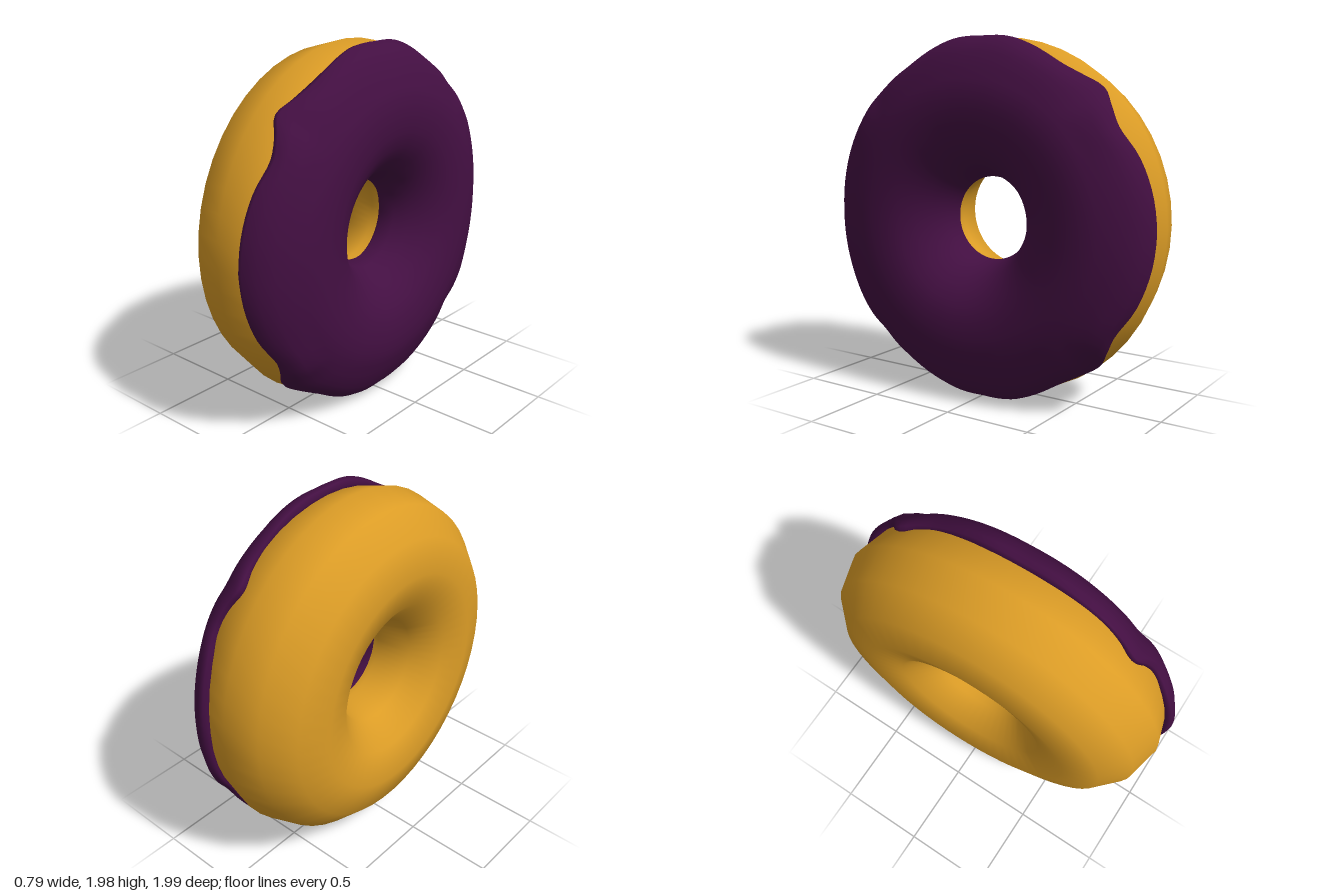
import * as THREE from 'three';

const R = 0.62, r = 0.37;            // ring radius and dough thickness
const STEPS = 36;                    // icing samples per quarter turn

// Wavy icing rim over one quarter turn: angle in degrees, edge position, lip radius
const rim = new THREE.CatmullRomCurve3([
  [0, 0.115, 0.998], [12, 0.125, 0.995], [23, 0.142, 0.985], [33, 0.17, 0.967],
  [40, 0.145, 0.985], [46, 0.1, 1.0], [53, 0.13, 0.98], [60, 0.147, 0.968],
  [72, 0.147, 0.985], [80, 0.142, 0.996], [90, 0.14, 0.99],
].map(([deg, x, rho]) => new THREE.Vector3(THREE.MathUtils.degToRad(deg), x, rho)));

// Cross-section of the icing as [x, radius], from the outer edge into the hole
function icingSection(edge, lip) {
  const doughRadius = x => R + Math.sqrt(r * r - (x + 0.01) ** 2);
  const tip = edge + 0.04;
  const pts = [
    [edge + 0.01, doughRadius(edge) - 0.02],
    [edge, doughRadius(edge) + 0.004],
    [edge + 0.014, lip - 0.008],
    [tip, lip],
  ];
  // From the lip down to the round part
  const start = THREE.MathUtils.degToRad(58);
  const join = [-0.01 + 0.394 * Math.sin(start), R + 0.394 * Math.cos(start)];
  for (const k of [0.3, 0.65]) {
    const bulge = 0.07 * k * (1 - k);
    pts.push([tip + (join[0] - tip) * k + bulge, lip + (join[1] - lip) * k + bulge]);
  }
  // Over the crest and into the hole
  for (const deg of [58, 68, 79, 90, 103, 116, 130, 145, 158, 170]) {
    const t = THREE.MathUtils.degToRad(deg);
    const rad = 0.38 + 0.014 * Math.abs(Math.cos(t)) ** 0.7;
    pts.push([-0.01 + rad * Math.sin(t), R + rad * Math.cos(t)]);
  }
  pts.push([0.02, R - r + 0.02]);
  return pts;
}

function icingGeometry() {
  const positions = [], index = [], total = STEPS * 4;
  let n = 0;
  for (let i = 0; i < total; i++) {
    // Mirror the quarter rim around the full circle
    const quarter = Math.floor(i / STEPS), k = (i % STEPS) / STEPS;
    const odd = quarter % 2 === 1;
    const p = rim.getPoint(odd ? 1 - k : k);
    const phi = quarter * Math.PI / 2 + (odd ? Math.PI / 2 - p.x : p.x);
    const section = icingSection(p.y, p.z);
    n = section.length;
    for (const [x, rho] of section) positions.push(x, rho * Math.sin(phi), rho * Math.cos(phi));
  }
  for (let i = 0; i < total; i++) {
    for (let j = 0; j < n - 1; j++) {
      const a = i * n + j, b = ((i + 1) % total) * n + j;
      index.push(a, a + 1, b, b, a + 1, b + 1);
    }
  }
  const g = new THREE.BufferGeometry();
  g.setAttribute('position', new THREE.Float32BufferAttribute(positions, 3));
  g.setIndex(index);
  g.computeVertexNormals();
  return g;
}

export function createModel() {
  const doughMat = new THREE.MeshStandardMaterial({ color: 0xdb9c26 });
  doughMat.name = 'golden dough';
  const icingMat = new THREE.MeshStandardMaterial({ color: 0x430f42 });
  icingMat.name = 'dark purple icing';

  // Dough ring standing upright, its hole along x
  const dough = new THREE.Mesh(new THREE.TorusGeometry(R, r, 12, 48).rotateY(Math.PI / 2), doughMat);
  dough.name = 'dough';
  dough.position.x = -0.01;

  const icing = new THREE.Mesh(icingGeometry(), icingMat);
  icing.name = 'icing';

  // Slight turn about the vertical
  const ring = new THREE.Group();
  ring.name = 'doughnut';
  ring.add(dough, icing);
  ring.rotation.y = 0.035;
  ring.position.y = 1;

  const model = new THREE.Group();
  model.name = 'model';
  model.add(ring);
  return model;
}
